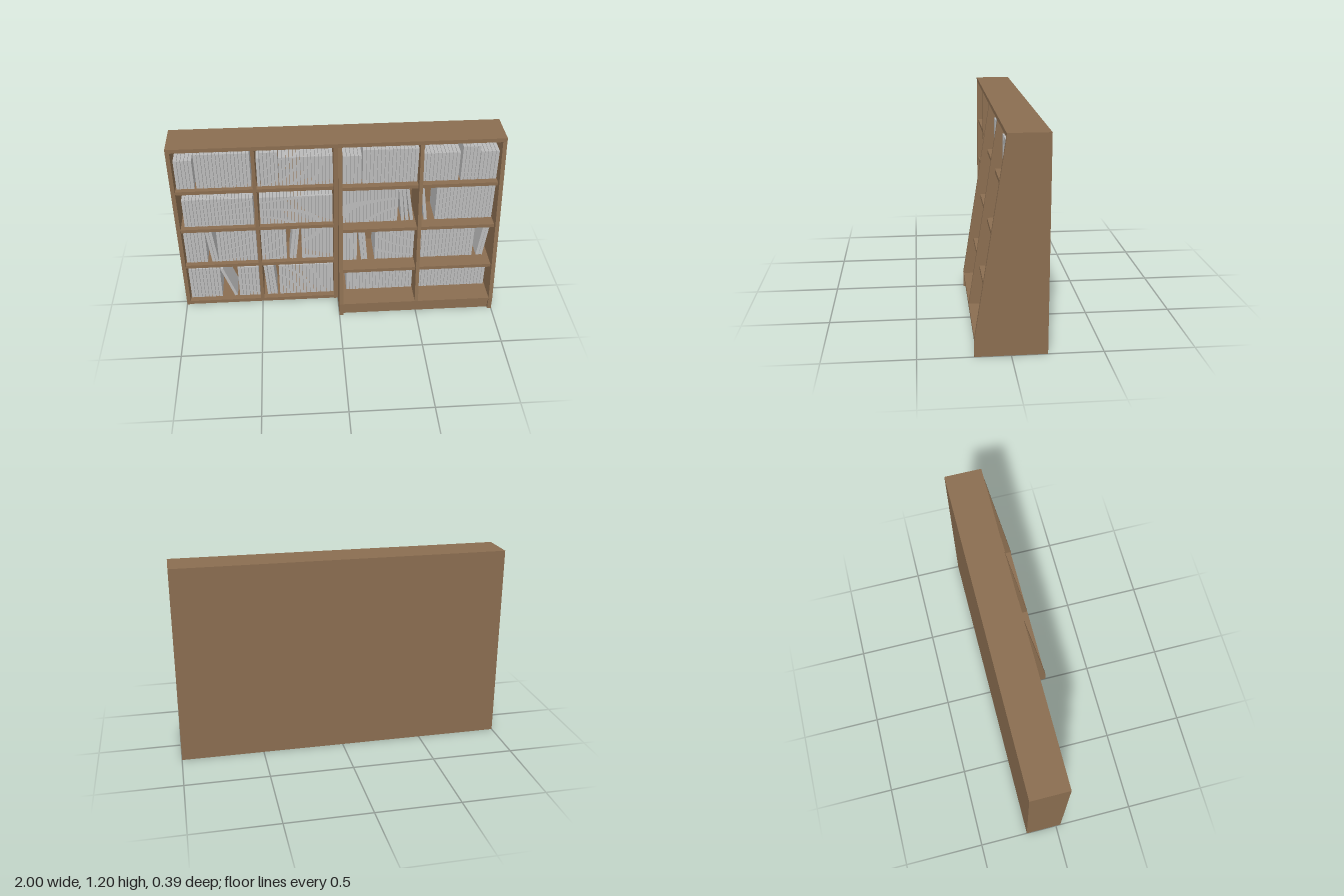
import * as THREE from 'three';

export function createModel() {
  const model = new THREE.Group();
  const wood = new THREE.MeshStandardMaterial({ color: 0x8a6d50 });
  wood.name = 'wood';
  const paper = new THREE.MeshStandardMaterial({ color: 0xbababa });
  paper.name = 'bookGrey';

  const BACK = -0.197, TOP = 1.2, T = 0.025, SHALLOW = 0.03, DEEP = 0.197, KNEE = 0.09, BREAK = 1.175;
  const INNER = BACK + 0.012;
  const slopeZ = (y) => THREE.MathUtils.mapLinear(y, KNEE, BREAK, DEEP, SHALLOW);

  function box(name, x0, x1, y0, y1, z0, z1, mat = wood, parent = model) {
    const mesh = new THREE.Mesh(new THREE.BoxGeometry(x1 - x0, y1 - y0, z1 - z0), mat);
    mesh.position.set((x0 + x1) / 2, (y0 + y1) / 2, (z0 + z1) / 2);
    mesh.name = name;
    parent.add(mesh);
    return mesh;
  }

  // Upright board with a (z, y) outline, extruded across x
  function upright(name, x0, x1, outline) {
    const shape = new THREE.Shape(outline.map(([z, y]) => new THREE.Vector2(z, y)));
    const geo = new THREE.ExtrudeGeometry(shape, { depth: x1 - x0, bevelEnabled: false });
    geo.rotateY(-Math.PI / 2);
    geo.translate(x1, 0, 0);
    const mesh = new THREE.Mesh(geo, wood);
    mesh.name = name;
    model.add(mesh);
  }

  // Carcass
  box('backPanel', -1, 1, 0, TOP, BACK, INNER);
  box('topBoard', -1 + T, -T, TOP - T, TOP, INNER, SHALLOW);
  box('topBoard', T, 1 - T, TOP - T, TOP, INNER, SHALLOW);
  for (const x of [-1, -T]) box('straightSide', x, x + T, 0, TOP, INNER, SHALLOW);
  const slopedSide = [[INNER, 0], [DEEP, 0], [DEEP, KNEE], [SHALLOW, BREAK], [SHALLOW, TOP], [INNER, TOP]];
  for (const x of [0, 1 - T]) upright('slopedSide', x, x + T, slopedSide);

  // Dividers
  box('straightDivider', -0.511, -0.489, T, TOP - T, INNER, SHALLOW - 0.003);
  upright('slopedDivider', 0.489, 0.511,
    [[INNER, KNEE], [DEEP - 0.003, KNEE], [SHALLOW - 0.003, BREAK], [INNER, BREAK]]);

  // Bottom boards and plinth
  box('bottomBoard', -1 + T, -T, 0, T, INNER, SHALLOW - 0.003);
  box('plinth', T, 1 - T, 0, 0.068, INNER, DEEP - 0.018);
  box('slopedBottomShelf', T, 1 - T, 0.068, KNEE, INNER, DEEP - 0.003);

  // Shelves, one per bay; those on the sloped side get shallower upwards
  const bays = [[-0.975, -0.511], [-0.489, -0.025], [0.025, 0.489], [0.511, 0.975]];
  const shelfTops = [0.325, 0.612, 0.898];
  for (const y of shelfTops) {
    bays.forEach(([x0, x1], i) =>
      box('shelf', x0, x1, y - 0.023, y, INNER, i < 2 ? SHALLOW - 0.008 : slopeZ(y) - 0.031));
  }

  // Books: runs are [start x, end x, top y]; leaning are [foot x, head x, top y]
  const rows = [
    { floor: 0.898, front: -0.01, runs: [[-0.97, -0.86, 1.096], [-0.85, -0.52, 1.134],
      [-0.485, -0.465, 1.096], [-0.463, -0.355, 1.134], [-0.353, -0.027, 1.096]], lean: [] },
    { floor: 0.898, front: 0, runs: [[0.03, 0.145, 1.096], [0.15, 0.487, 1.134],
      [0.513, 0.738, 1.096], [0.75, 0.858, 1.134], [0.86, 0.973, 1.096]], lean: [] },
    { floor: 0.612, front: -0.01, runs: [[-0.953, -0.52, 0.813], [-0.482, -0.03, 0.813]], lean: [] },
    { floor: 0.612, front: 0.01, runs: [[0.03, 0.375, 0.855], [0.61, 0.973, 0.855]],
      lean: [[0.41, 0.385, 0.855], [0.437, 0.407, 0.855], [0.467, 0.43, 0.855], [0.553, 0.523, 0.855]] },
    { floor: 0.325, front: -0.01, runs: [[-0.97, -0.834, 0.57], [-0.765, -0.515, 0.57],
      [-0.487, -0.326, 0.57], [-0.23, -0.027, 0.57]],
      lean: [[-0.797, -0.824, 0.57], [-0.775, -0.802, 0.57], [-0.3, -0.272, 0.57], [-0.277, -0.25, 0.57]] },
    { floor: 0.325, front: 0.03, runs: [[0.03, 0.123, 0.57], [0.235, 0.487, 0.57], [0.513, 0.872, 0.57]],
      lean: [[0.16, 0.138, 0.57], [0.181, 0.159, 0.57], [0.908, 0.936, 0.57], [0.93, 0.957, 0.57]] },
    { floor: T, front: -0.01, runs: [[-0.97, -0.765, 0.267], [-0.652, -0.515, 0.267], [-0.385, -0.027, 0.267]],
      lean: [[-0.673, -0.755, 0.262], [-0.455, -0.472, 0.267], [-0.432, -0.448, 0.267], [-0.41, -0.427, 0.267]] },
    { floor: KNEE, front: 0.05, runs: [[0.053, 0.487, 0.289], [0.524, 0.968, 0.289]], lean: [] },
  ];
  const PITCH = 0.022, BOOK = 0.0195;
  for (const { floor, front, runs, lean } of rows) {
    const row = new THREE.Group();
    row.name = 'bookRow';
    model.add(row);
    const back = INNER + 0.005;
    for (const [x0, x1, top] of runs) {
      const n = Math.max(1, Math.round((x1 - x0) / PITCH));
      const step = (x1 - x0) / n;
      const gap = step * (1 - BOOK / PITCH) / 2;
      for (let i = 0; i < n; i++) {
        const x = x0 + i * step;
        box('book', x + gap, x + step - gap, floor, top, back, front, paper, row);
      }
    }
    for (const [foot, head, top] of lean) {
      const angle = Math.atan2(foot - head, top - floor);
      const length = (top - floor - BOOK * Math.sin(Math.abs(angle))) / Math.cos(angle);
      const book = box('leaningBook', -BOOK / 2, BOOK / 2, 0, length, back, front, paper, row);
      book.position.x = (foot + head) / 2;
      book.position.y = (floor + top) / 2;
      book.rotation.z = angle;
    }
  }
  return model;
}
